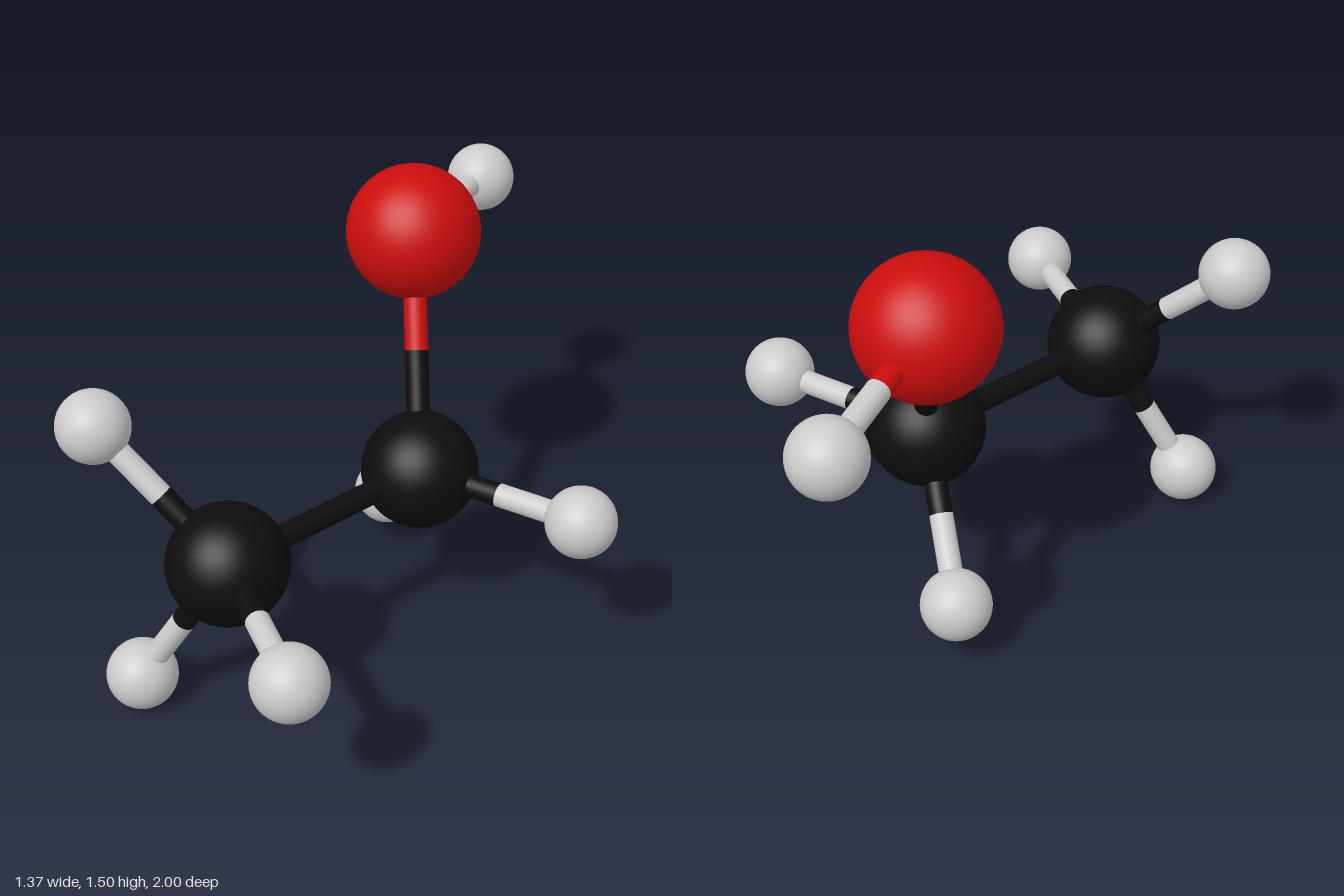
import * as THREE from 'three';

// Ball-and-stick molecule: two carbons, one oxygen, six hydrogens
const KINDS = {
  carbon: { radius: 0.195, color: 0x0d0d0d },
  oxygen: { radius: 0.223, color: 0xcc0d0d },
  hydrogen: { radius: 0.117, color: 0xcccccc },
};
const BOND_RADIUS = 0.039;

const ATOMS = {
  frontCarbon: ['carbon', 0.01, 0.617, 0.692],
  backCarbon: ['carbon', 0.01, 0.617, -0.094],
  oxygen: ['oxygen', -0.32, 1.28, -0.35],
  oxygenHydrogen: ['hydrogen', -0.568, 1.217, -0.883],
  frontLeftHydrogen: ['hydrogen', 0.567, 0.617, 0.885],
  frontUpperHydrogen: ['hydrogen', -0.384, 1.01, 0.885],
  frontLowerHydrogen: ['hydrogen', -0.237, 0.12, 0.885],
  backLeftHydrogen: ['hydrogen', 0.567, 0.617, -0.288],
  backLowerHydrogen: ['hydrogen', -0.384, 0.226, -0.288],
};

const BONDS = [
  ['frontCarbon', 'backCarbon'],
  ['backCarbon', 'oxygen'],
  ['oxygen', 'oxygenHydrogen'],
  ['frontCarbon', 'frontLeftHydrogen'],
  ['frontCarbon', 'frontUpperHydrogen'],
  ['frontCarbon', 'frontLowerHydrogen'],
  ['backCarbon', 'backLeftHydrogen'],
  ['backCarbon', 'backLowerHydrogen'],
];

export function createModel() {
  const model = new THREE.Group();
  model.name = 'molecule';

  const materials = {};
  const spheres = {};
  for (const [kind, { radius, color }] of Object.entries(KINDS)) {
    materials[kind] = new THREE.MeshStandardMaterial({ color });
    spheres[kind] = new THREE.SphereGeometry(radius, 48, 32);
  }

  // Atoms
  const position = (name) => new THREE.Vector3(...ATOMS[name].slice(1));
  for (const [name, [kind]] of Object.entries(ATOMS)) {
    const atom = new THREE.Mesh(spheres[kind], materials[kind]);
    atom.name = name;
    atom.position.copy(position(name));
    model.add(atom);
  }

  // Half of a bond, from an atom's centre to the bond's midpoint
  const up = new THREE.Vector3(0, 1, 0);
  function halfBond(from, to) {
    const start = position(from);
    const span = position(to).sub(start).multiplyScalar(0.5);
    const length = span.length();
    const geometry = new THREE.CylinderGeometry(BOND_RADIUS, BOND_RADIUS, length, 24, 1, true);
    const stick = new THREE.Mesh(geometry, materials[ATOMS[from][0]]);
    stick.name = `${from}BondHalf`;
    stick.position.copy(start).addScaledVector(span, 0.5);
    stick.quaternion.setFromUnitVectors(up, span.normalize());
    return stick;
  }

  // Bonds, each half coloured like its own atom
  for (const [a, b] of BONDS) {
    const bond = new THREE.Group();
    bond.name = `${a}To${b[0].toUpperCase()}${b.slice(1)}Bond`;
    bond.add(halfBond(a, b), halfBond(b, a));
    model.add(bond);
  }
  return model;
}
